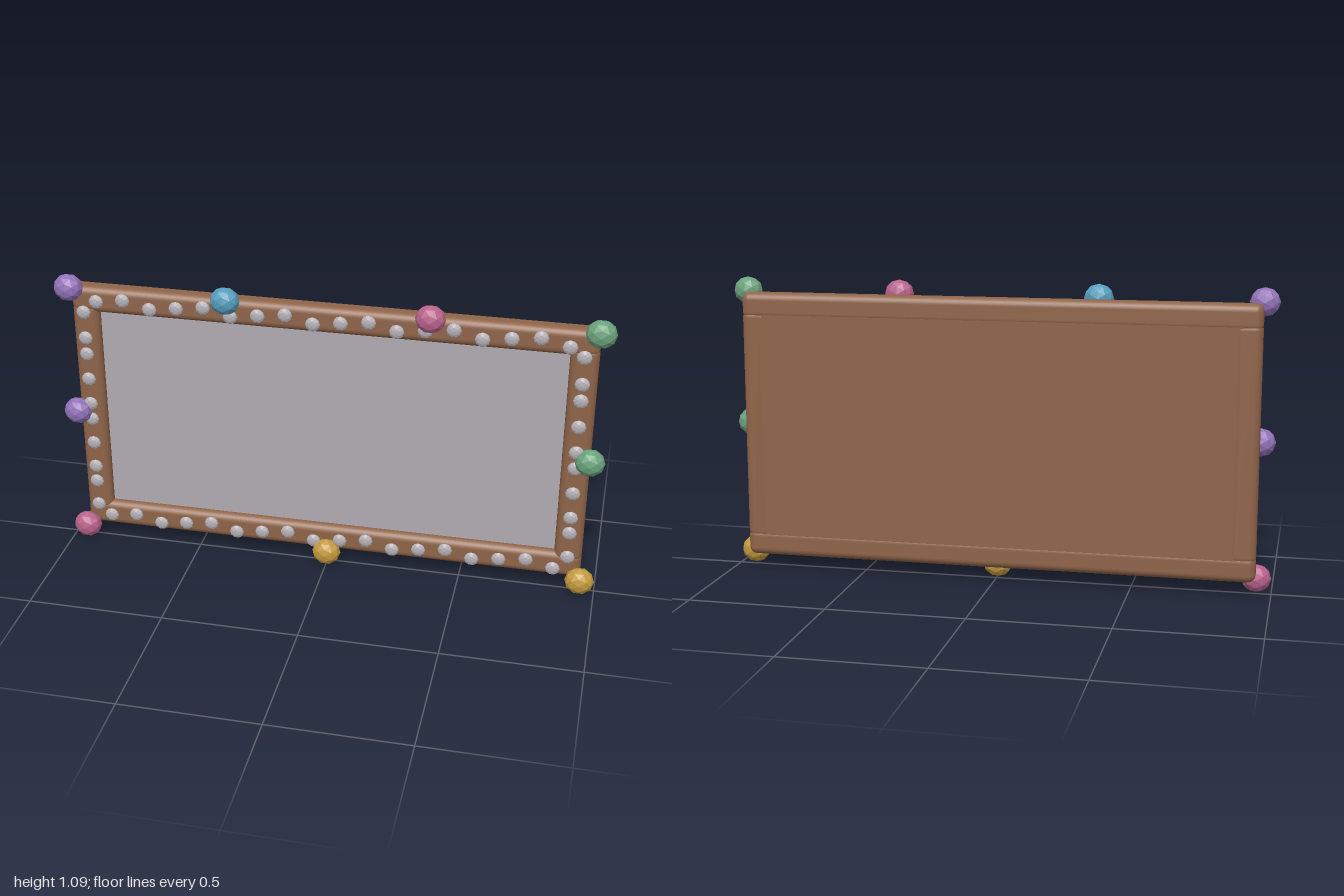
import * as THREE from 'three';
import { RoundedBoxGeometry } from 'three/addons/geometries/RoundedBoxGeometry.js';

const mat = (name, color, flatShading = false) => {
  const m = new THREE.MeshStandardMaterial({ color, flatShading });
  m.name = name;
  return m;
};

export function createModel() {
  const model = new THREE.Group();
  model.name = 'studdedBoard';

  const wood = mat('wood', 0x8f6449);
  const panel = mat('paleGrey', 0xb0aab2);
  const silver = mat('silver', 0xb4b0b6, true);
  const purple = mat('purple', 0x9272b8, true);
  const blue = mat('blue', 0x559cbc, true);
  const pink = mat('pink', 0xb8628a, true);
  const green = mat('green', 0x6aa27c, true);
  const gold = mat('gold', 0xc29a3e, true);

  const add = (name, geometry, material, x, y, z) => {
    const mesh = new THREE.Mesh(geometry, material);
    mesh.name = name;
    mesh.position.set(x, y, z);
    model.add(mesh);
    return mesh;
  };

  // Frame: full-width rails, with side posts tucked between them
  const rail = new RoundedBoxGeometry(1.89, 0.1, 0.075, 4, 0.028);
  const post = new RoundedBoxGeometry(0.1, 0.86, 0.075, 4, 0.028);
  add('topRail', rail, wood, 0, 0.995, -0.0275);
  add('bottomRail', rail, wood, 0, 0.105, -0.0275);
  add('leftPost', post, wood, 0.895, 0.55, -0.0275);
  add('rightPost', post, wood, -0.895, 0.55, -0.0275);

  // Recessed face and wooden backing
  add('facePanel', new THREE.BoxGeometry(1.74, 0.84, 0.01), panel, 0, 0.55, -0.025);
  add('backing', new THREE.BoxGeometry(1.76, 0.86, 0.032), wood, 0, 0.55, -0.0475);

  // Flattened studs along the frame, in a repeating three-step offset
  const studShape = new THREE.IcosahedronGeometry(1, 1).scale(0.027, 0.027, 0.0125);
  const offset = [0, 0.0125, -0.0125];
  for (let i = 0; i < 18; i++) {
    const x = -0.845 + i * 0.0994;
    add('topStud', studShape, silver, x, 0.997 + offset[i % 3], 0.02);
    add('bottomStud', studShape, silver, x, 0.107 + offset[i % 3], 0.02);
  }
  for (let i = 0; i < 10; i++) {
    const y = 0.15 + i * 0.089 + offset[i % 3];
    for (const side of [-1, 1]) add('sideStud', studShape, silver, side * 0.895, y, 0.02);
  }

  // Coloured faceted knobs around the edge
  const knobShape = new THREE.IcosahedronGeometry(1, 1).scale(0.054, 0.051, 0.043);
  const knobs = [
    [purple, -0.945, 1.045], [blue, -0.365, 1.045], [pink, 0.365, 1.045], [green, 0.945, 1.045],
    [purple, -0.945, 0.55], [green, 0.945, 0.55],
    [pink, -0.945, 0.055], [gold, 0, 0.055], [gold, 0.945, 0.055],
  ];
  for (const [material, x, y] of knobs) add(material.name + 'Knob', knobShape, material, x, y, 0.022);

  return model;
}
